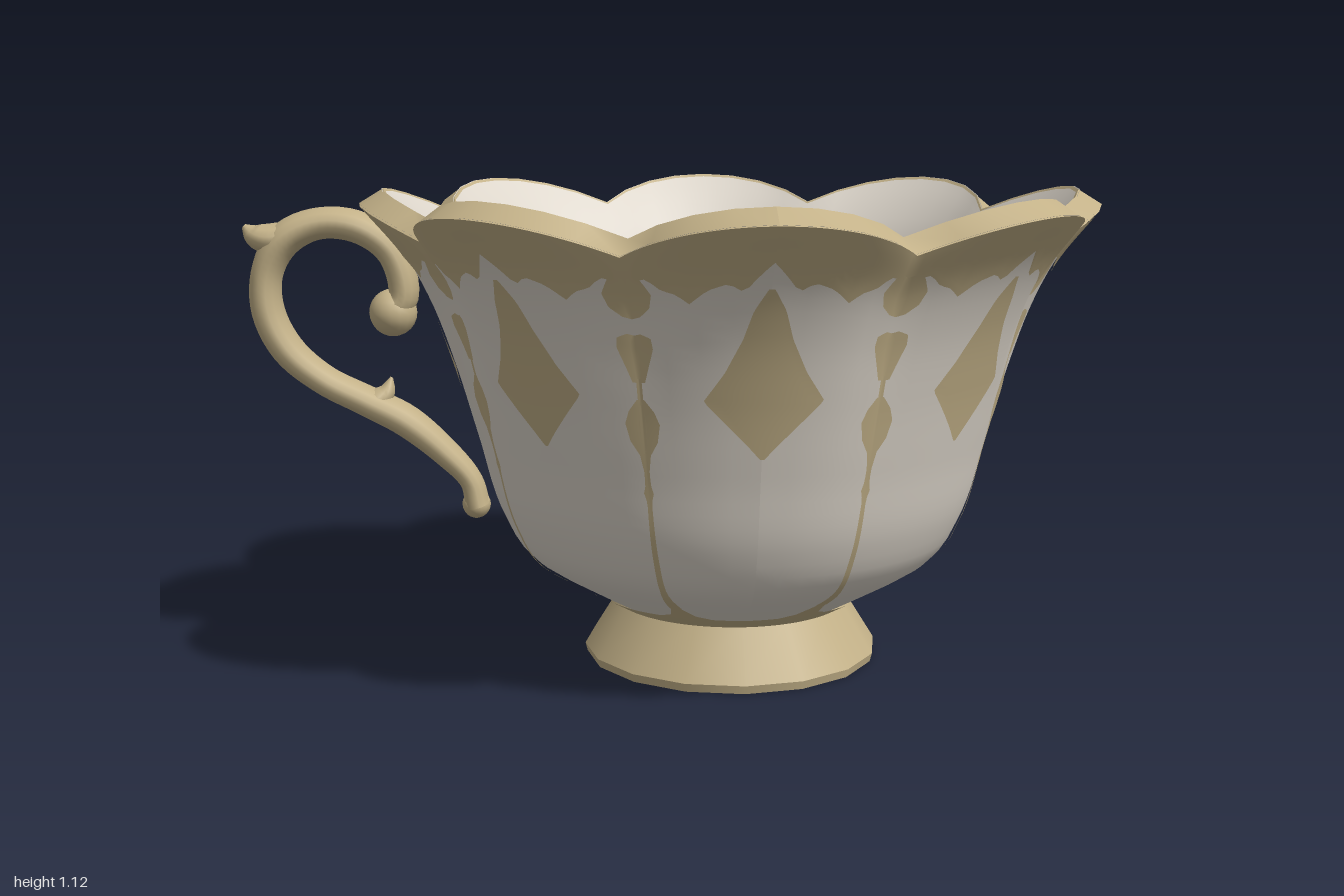
import * as THREE from 'three';
import { ParametricGeometry } from 'three/addons/geometries/ParametricGeometry.js';

const CUP_X = 0.135, BASE = 0.14, RIM = 1.093, LOBES = 8;
const STEP = (Math.PI * 2) / LOBES;
const { lerp } = THREE.MathUtils;

// Turns [x, value] pairs into a function of x
function track(points, Kind = THREE.LinearInterpolant) {
  const it = new Kind(points.map((p) => p[0]), points.map((p) => p[1]), 1, new Float64Array(1));
  return (x) => it.evaluate(x)[0];
}

// Outer wall radius at the middle of a lobe
const radius = track([
  [0.14, 0.28], [0.2, 0.385], [0.265, 0.487], [0.36, 0.548], [0.55, 0.605],
  [0.72, 0.655], [0.87, 0.71], [0.98, 0.77], [1.093, 0.865],
], THREE.CubicInterpolant);

// Inner profile from the middle of the floor to the rim
const innerProfile = new THREE.SplineCurve([
  [0.002, 0.175], [0.12, 0.18], [0.25, 0.205], [0.38, 0.275], [0.48, 0.39], [0.54, 0.54],
  [0.59, 0.7], [0.64, 0.85], [0.695, 0.97], [0.755, 1.055], [0.817, 1.124],
].map((p) => new THREE.Vector2(...p)));

// Position across a lobe: 0 in the middle, 1 in the valley
const across = (a) => Math.abs(a / STEP - Math.round(a / STEP)) * 2;

// Point round the cup, with scallops that grow towards the rim (w = 1)
function scallop(a, r, y, w, target) {
  const s = across(a) ** 2 * w ** 3;
  const rr = r * (1 - 0.118 * s);
  target.set(Math.sin(a) * rr, y - 0.07 * s, Math.cos(a) * rr);
}
const outer = (a, y, lift, target) =>
  scallop(a, radius(y) + lift, y - lift * 0.7, (y - BASE) / (RIM - BASE), target);
const paint = (a, y, target) => outer(a, y, 0.004, target);

function inner(a, v, lift, target) {
  const p = innerProfile.getPoint(v);
  scallop(a, p.x - lift, p.y, (p.y - 0.17) / 0.954, target);
}

// Grid surface with averaged normals
function smoothSurface(fn, slices, stacks) {
  const geometry = new ParametricGeometry(fn, slices, stacks);
  geometry.computeVertexNormals();
  return geometry;
}

export function createModel() {
  const white = new THREE.MeshStandardMaterial({ color: 0xddd6cb });
  white.name = 'warm white china';
  const gold = new THREE.MeshStandardMaterial({ color: 0xc3b188 });
  gold.name = 'pale gold';

  const model = new THREE.Group();
  model.name = 'teacup';
  const cup = new THREE.Group();
  cup.name = 'cup';
  cup.position.x = CUP_X;
  model.add(cup);

  function add(parent, name, geometry, material) {
    const mesh = new THREE.Mesh(geometry, material);
    mesh.name = name;
    parent.add(mesh);
    return mesh;
  }
  const turn = (u) => u * Math.PI * 2;

  // Bowl: outer wall, rounded inside and rim
  add(cup, 'outerWall', smoothSurface((u, v, p) => outer(turn(u), lerp(BASE, RIM, v), 0, p), 64, 32), white);
  add(cup, 'innerWall', smoothSurface((u, v, p) => inner(turn(-u), v, 0, p), 64, 40), white);
  add(cup, 'innerRimLine', smoothSurface((u, v, p) => inner(turn(-u), lerp(0.985, 1, v), 0.004, p), 64, 1), gold);
  add(cup, 'rim', smoothSurface(
    (u, v, p) => scallop(turn(u), lerp(0.869, 0.813, v), lerp(1.09, 1.124, v), 1, p), 64, 1), gold);

  // Foot
  add(cup, 'foot', new THREE.CylinderGeometry(0.28, 0.355, 0.12, 16, 1, true), gold).position.y = 0.08;
  add(cup, 'footBase', new THREE.CylinderGeometry(0.355, 0.35, 0.02, 16), gold).position.y = 0.01;

  // Painted borders under the rim and above the foot
  const upperEdge = track([
    [0, 1.02], [0.08, 0.995], [0.18, 0.96], [0.28, 0.98], [0.42, 0.97],
    [0.55, 0.945], [0.64, 0.97], [0.74, 0.985], [0.84, 1.02], [1, 1.025],
  ]);
  const lowerEdge = track([[0, 0.172], [0.55, 0.175], [0.8, 0.188], [0.92, 0.215], [1, 0.25]]);
  add(cup, 'upperBorder', smoothSurface((u, v, p) => {
    const a = turn(u);
    paint(a, lerp(upperEdge(across(a)), RIM, v), p);
  }, 320, 8), gold);
  add(cup, 'lowerBorder', smoothSurface((u, v, p) => {
    const a = turn(u);
    paint(a, lerp(BASE, lowerEdge(across(a)), v), p);
  }, 320, 5), gold);

  // Painted ornament given as [height, half width] rows from bottom to top
  function ornament(name, angle, rows) {
    const half = track(rows), y0 = rows[0][0], y1 = rows[rows.length - 1][0];
    add(cup, name, smoothSurface((u, v, p) => {
      const y = lerp(y0, y1, v);
      paint(angle + ((2 * u - 1) * half(y)) / radius(y), y, p);
    }, 8, 36), gold);
  }
  const diamond = [[0.6, 0.004], [0.63, 0.03], [0.73, 0.124], [0.79, 0.083], [0.86, 0.05], [0.92, 0.032], [0.965, 0.006]];
  const drop = [[0.56, 0.004], [0.61, 0.012], [0.64, 0.03], [0.68, 0.038], [0.71, 0.028], [0.74, 0.008]];
  const bud = [[0.78, 0.014], [0.81, 0.024], [0.855, 0.04], [0.88, 0.038], [0.895, 0.015]];
  const knob = [[0.935, 0.02], [0.95, 0.045], [0.98, 0.055], [1.01, 0.042], [1.035, 0.03]];
  const stem = [[0.22, 0.014], [0.28, 0.007], [0.5, 0.005], [0.52, 0.011], [0.54, 0.006], [0.79, 0.006]];
  for (let i = 0; i < LOBES; i++) {
    const valley = (i + 0.5) * STEP;
    ornament('diamond', i * STEP, diamond);
    ornament('drop', valley, drop);
    ornament('bud', valley, bud);
    ornament('knob', valley, knob);
    ornament('stem', valley, stem);
  }

  // Handle: tapered, slightly flattened tubes along flat curves of [x, y, radius]
  const handle = new THREE.Group();
  handle.name = 'handle';
  model.add(handle);
  function taperedTube(name, points, steps) {
    const curve = new THREE.CatmullRomCurve3(points.map((p) => new THREE.Vector3(...p)));
    add(handle, name, new ParametricGeometry((u, v, p) => {
      const c = curve.getPoint(v), t = curve.getTangent(v).setZ(0).normalize();
      const a = u * Math.PI * 2, n = Math.cos(a) * c.z;
      p.set(c.x - t.y * n, c.y + t.x * n, Math.sin(a) * c.z * 1.6);
    }, 14, steps), gold);
  }
  taperedTube('handleLoop', [
    [-0.675, 0.825, 0.035], [-0.638, 0.875, 0.036], [-0.662, 0.975, 0.036], [-0.735, 1.033, 0.038],
    [-0.83, 1.043, 0.037], [-0.91, 1.005, 0.04], [-0.951, 0.93, 0.037], [-0.952, 0.84, 0.038],
    [-0.91, 0.75, 0.038], [-0.83, 0.678, 0.035], [-0.73, 0.625, 0.036], [-0.64, 0.577, 0.038],
    [-0.55, 0.5, 0.033], [-0.49, 0.43, 0.028], [-0.475, 0.37, 0.03],
  ], 72);
  taperedTube('thumbTip', [[-0.87, 1.025, 0.03], [-0.94, 1.008, 0.036], [-0.975, 1.017, 0.028], [-1, 1.038, 0.006]], 10);
  taperedTube('innerSpur', [[-0.72, 0.615, 0.035], [-0.685, 0.645, 0.022], [-0.671, 0.682, 0.003]], 8);
  for (const [name, x, y, r] of [['upperScroll', -0.663, 0.835, 0.056], ['lowerScroll', -0.478, 0.372, 0.034]]) {
    const ball = add(handle, name, new THREE.SphereGeometry(r, 16, 12), gold);
    ball.position.set(x, y, 0);
    ball.scale.z = 1.15;
  }
  return model;
}
